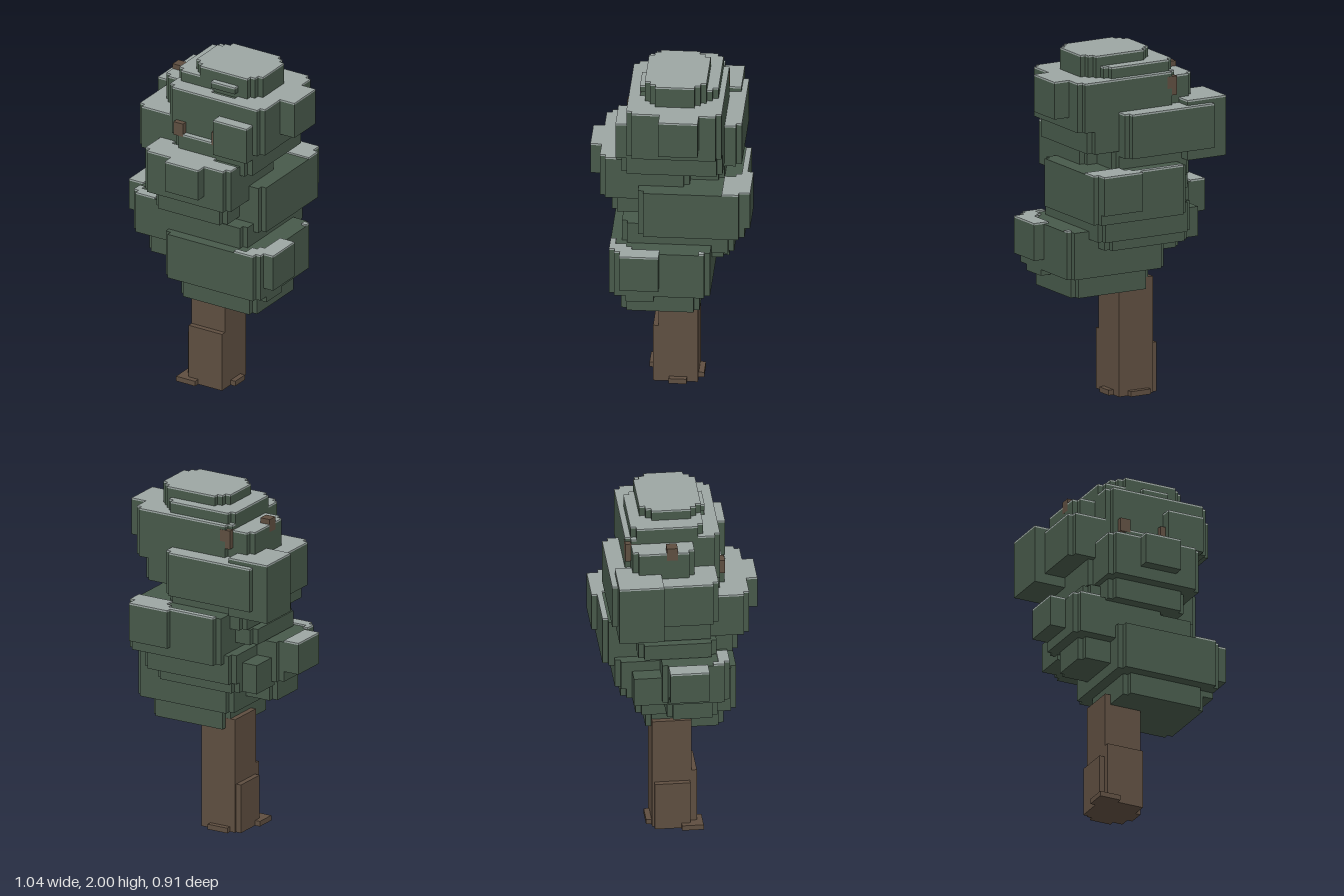
import * as THREE from 'three';
import { mergeGeometries } from 'three/addons/utils/BufferGeometryUtils.js';

const U = 0.0315;      // voxel size
const CAP = 0.01;      // snow thickness
const index = v => Math.round(v / U - 0.5);
const edge = i => (i + 0.5) * U;
const snap = v => edge(index(v));

function box(x0, x1, y0, y1, z0, z1) {
  const g = new THREE.BoxGeometry(x1 - x0, y1 - y0, z1 - z0);
  g.translate((x0 + x1) / 2, (y0 + y1) / 2, (z0 + z1) / 2);
  return g;
}

// Slabs: x0, x1, y0, y1, z0, z1, number of voxel steps cut from each corner
const tiers = {
  lowerFoliage: [
    [-0.11, 0.39, 0.61, 0.75, -0.17, 0.27, 1],
    [0.24, 0.455, 0.70, 0.75, 0.08, 0.24, 0],
    [-0.175, 0.455, 0.735, 1.015, -0.24, 0.33, 1],
    [0.42, 0.52, 0.80, 1.015, 0.045, 0.27, 0],
    [-0.365, 0.11, 0.80, 0.95, -0.08, 0.205, 1],
    [-0.43, 0.14, 0.93, 1.175, -0.11, 0.27, 1],
    [-0.52, -0.27, 0.99, 1.175, -0.08, 0.14, 0],
    [-0.365, -0.205, 0.90, 1.08, -0.27, -0.08, 0],
    [-0.27, 0.27, 0.90, 0.97, -0.33, 0.205, 1],
    [-0.27, 0.33, 0.96, 1.14, -0.365, 0.27, 1],
  ],
  middleFoliage: [
    [-0.205, 0.39, 1.08, 1.365, -0.43, 0.175, 1],
    [0.11, 0.365, 1.14, 1.365, -0.46, -0.30, 0],
    [-0.24, 0.235, 1.15, 1.28, -0.11, 0.33, 1],
    [-0.33, 0.235, 1.17, 1.27, -0.24, 0.205, 1],
    [-0.27, 0.30, 1.27, 1.525, -0.11, 0.395, 1],
    [-0.08, 0.14, 1.34, 1.525, 0.30, 0.46, 0],
    [-0.30, 0.205, 1.27, 1.46, -0.30, 0.205, 1],
  ],
  upperFoliage: [
    [-0.43, 0.175, 1.43, 1.685, -0.395, 0.205, 1],
    [-0.49, -0.24, 1.37, 1.715, -0.365, -0.11, 0],
    [-0.14, 0.365, 1.46, 1.615, -0.30, 0.27, 1],
    [-0.205, 0.425, 1.59, 1.875, -0.30, 0.24, 1],
    [0.30, 0.52, 1.66, 1.875, -0.175, 0.045, 0],
    [0.14, 0.365, 1.56, 1.775, 0.11, 0.30, 0],
    [-0.33, 0.11, 1.66, 1.845, -0.27, 0.08, 1],
  ],
  crown: [
    [-0.205, 0.235, 1.78, 1.94, -0.27, 0.14, 1],
    [0.045, 0.205, 1.90, 1.94, 0.08, 0.175, 0],
    [-0.11, 0.33, 1.86, 2.0, -0.205, 0.14, 2],
  ],
};

// Slab with stair-stepped corners
function slabGeometry([x0, x1, y0, y1, z0, z1, s]) {
  const stairs = [[s, 0]];
  for (let k = 0; k < s; k++) stairs.push([s - k, k + 1], [s - k - 1, k + 1]);
  const a = snap(x0), b = snap(x1), c = snap(-z1), d = snap(-z0);
  const corner = (cx, cy, sx, sy, flip) => {
    const p = stairs.map(([i, j]) => new THREE.Vector2(cx + sx * i * U, cy + sy * j * U));
    return flip ? p.reverse() : p;
  };
  const outline = [
    ...corner(a, c, 1, 1, true), ...corner(b, c, -1, 1, false),
    ...corner(b, d, -1, -1, true), ...corner(a, d, 1, -1, false),
  ];
  const g = new THREE.ExtrudeGeometry(new THREE.Shape(outline), { depth: y1 - CAP - y0, bevelEnabled: false });
  g.rotateX(-Math.PI / 2);
  g.translate(0, y0, 0);
  return g;
}

// Highest slab top over a voxel column, or 0 when empty
function skyHeight(i, k) {
  let top = 0;
  for (const [x0, x1, , y1, z0, z1, s] of Object.values(tiers).flat()) {
    const di = Math.min(i - index(x0), index(x1) - 1 - i);
    const dk = Math.min(k - index(z0), index(z1) - 1 - k);
    if (di >= 0 && dk >= 0 && di + dk >= s) top = Math.max(top, y1);
  }
  return top;
}

// Thin snow on every column open to the sky, joined in runs along x
function snowGeometry() {
  const parts = [];
  for (let k = -18; k < 18; k++) {
    let start = -19, height = 0;
    for (let i = -18; i <= 18; i++) {
      const h = skyHeight(i, k);
      if (h === height) continue;
      if (height) parts.push(box(edge(start), edge(i), height - CAP, height, edge(k), edge(k + 1)));
      start = i;
      height = h;
    }
  }
  return mergeGeometries(parts);
}

export function createModel() {
  const tree = new THREE.Group();
  tree.name = 'tree';
  const material = (name, color) => {
    const m = new THREE.MeshStandardMaterial({ color });
    m.name = name;
    return m;
  };
  const leaf = material('leaf green', 0x47594a);
  const snow = material('pale snow', 0x9ca6a3);
  const bark = material('bark brown', 0x5e4e40);
  const add = (name, geometry, mat) => {
    const mesh = new THREE.Mesh(geometry, mat);
    mesh.name = name;
    tree.add(mesh);
  };

  // Trunk, thicker at the base
  add('trunk', mergeGeometries([
    box(-0.142, 0.079, 0, 0.67, -0.142, 0.079),
    box(-0.173, 0.07, 0, 0.285, -0.13, 0.07),
    box(-0.142, 0.079, 0, 0.35, 0.07, 0.11),
  ]), bark);

  // Root flares
  add('roots', mergeGeometries([
    box(-0.205, -0.079, 0, 0.03, 0.02, 0.142),
    box(0.05, 0.11, 0, 0.03, -0.08, 0.02),
    box(-0.11, 0.02, 0, 0.03, -0.173, -0.12),
  ]), bark);

  // Foliage tiers
  for (const [name, slabs] of Object.entries(tiers)) {
    add(name, mergeGeometries(slabs.map(slabGeometry)), leaf);
  }
  add('snowCaps', snowGeometry(), snow);

  // Branch tips poking out of the leaves
  add('branchTips', mergeGeometries([
    box(-0.331, -0.27, 1.80, 1.875, -0.079, -0.018),
    box(-0.205, -0.142, 1.78, 1.849, -0.30, -0.268),
    box(-0.205, -0.173, 1.74, 1.849, -0.30, -0.236),
    box(-0.142, -0.079, 1.60, 1.68, 0.22, 0.268),
    box(0.11, 0.142, 1.60, 1.68, 0.22, 0.268),
  ]), bark);

  return tree;
}
